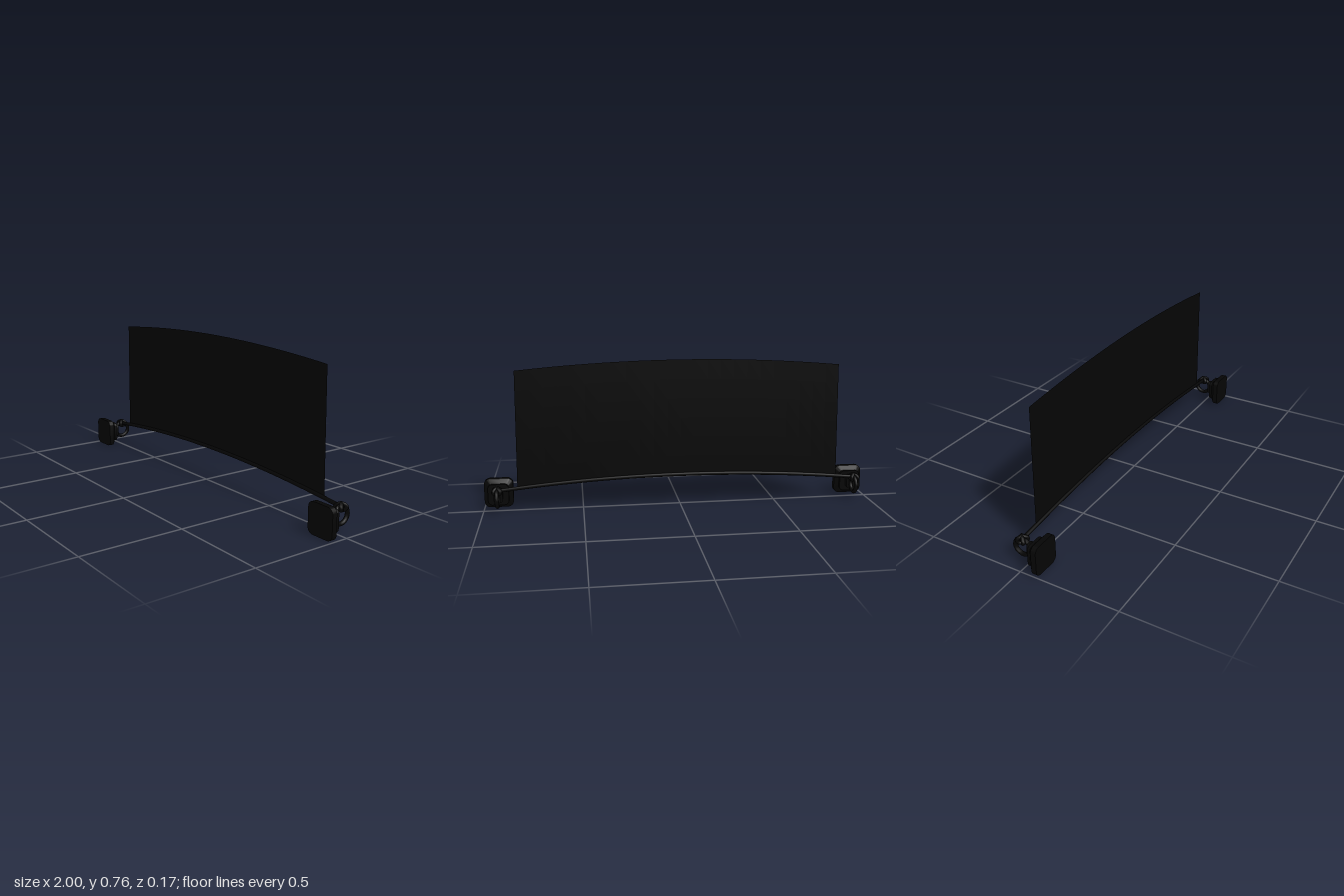
import * as THREE from 'three';
import { toCreasedNormals } from 'three/addons/utils/BufferGeometryUtils.js';

const black = new THREE.MeshStandardMaterial({ color: 0x050505 });
black.name = 'black';
const clothBlack = new THREE.MeshStandardMaterial({ color: 0x050505, side: THREE.DoubleSide });
clothBlack.name = 'clothBlack';

const ROPE_Z = -0.035;
const arc = (x) => 0.165 - 0.06 * x * x;

function add(parent, name, geometry, material = black) {
  const mesh = new THREE.Mesh(geometry, material);
  mesh.name = name;
  parent.add(mesh);
  return mesh;
}

// Rounded block from z0 (back, scaled by taper) to z1 (front)
function slab(w, h, r, z0, z1, taper = 1) {
  const x = w / 2, y = h / 2;
  const s = new THREE.Shape();
  s.moveTo(-x + r, -y);
  s.lineTo(x - r, -y);
  s.absarc(x - r, -y + r, r, -Math.PI / 2, 0);
  s.lineTo(x, y - r);
  s.absarc(x - r, y - r, r, 0, Math.PI / 2);
  s.lineTo(-x + r, y);
  s.absarc(-x + r, y - r, r, Math.PI / 2, Math.PI);
  s.lineTo(-x, -y + r);
  s.absarc(-x + r, -y + r, r, Math.PI, Math.PI * 1.5);
  const g = new THREE.ExtrudeGeometry(s, { depth: z1 - z0, bevelEnabled: false, curveSegments: 5 });
  const p = g.attributes.position;
  for (let i = 0; i < p.count; i++) {
    if (p.getZ(i) < 1e-6) p.setXY(i, p.getX(i) * taper, p.getY(i) * taper);
  }
  g.translate(0, 0, z0);
  return toCreasedNormals(g, 0.5);
}

// Wall mount with a ring and a rope knot
function createMount(side) {
  const mount = new THREE.Group();
  mount.name = side > 0 ? 'leftMount' : 'rightMount';
  mount.position.set(side * 0.927, 0.075, 0);

  add(mount, 'basePlate', slab(0.146, 0.15, 0.03, 0.062, 0.088));
  add(mount, 'baseTaper', slab(0.146, 0.15, 0.03, 0.043, 0.062, 0.72));
  add(mount, 'baseStep', slab(0.104, 0.108, 0.022, 0.028, 0.043));
  add(mount, 'neck', slab(0.046, 0.074, 0.018, 0.002, 0.028));

  const ring = add(mount, 'ring', new THREE.TorusGeometry(0.041, 0.0105, 8, 18));
  ring.rotation.y = Math.PI / 2;
  ring.position.z = ROPE_Z;

  // Two crossed loops tied round the top of the ring
  const knot = new THREE.Group();
  knot.name = 'knot';
  knot.position.set(0, 0.037, ROPE_Z);
  for (const turn of [-1, 1]) {
    const loop = add(knot, 'knotLoop', new THREE.TorusGeometry(0.024, 0.01, 8, 14));
    loop.rotation.y = turn * Math.PI / 4;
    loop.scale.y = 0.72;
  }
  mount.add(knot);
  return mount;
}

export function createModel() {
  const model = new THREE.Group();
  model.name = 'banner';

  model.add(createMount(1), createMount(-1));

  // Bowed rope between the knots
  const points = [];
  for (let i = 0; i <= 12; i++) {
    const x = -0.925 + (1.85 * i) / 12;
    points.push(new THREE.Vector3(x, arc(x), ROPE_Z));
  }
  add(model, 'rope', new THREE.TubeGeometry(new THREE.CatmullRomCurve3(points), 24, 0.0095, 8));

  // Thin cloth following the rope, slightly narrower at the top
  const cloth = new THREE.PlaneGeometry(2, 1, 24, 6);
  const p = cloth.attributes.position;
  for (let i = 0; i < p.count; i++) {
    const v = p.getY(i) + 0.5;
    const x = p.getX(i) * (0.826 - 0.009 * v);
    p.setXYZ(i, x, arc(x) - 0.002 + 0.594 * v, ROPE_Z);
  }
  cloth.computeVertexNormals();
  add(model, 'cloth', cloth, clothBlack);

  return model;
}
